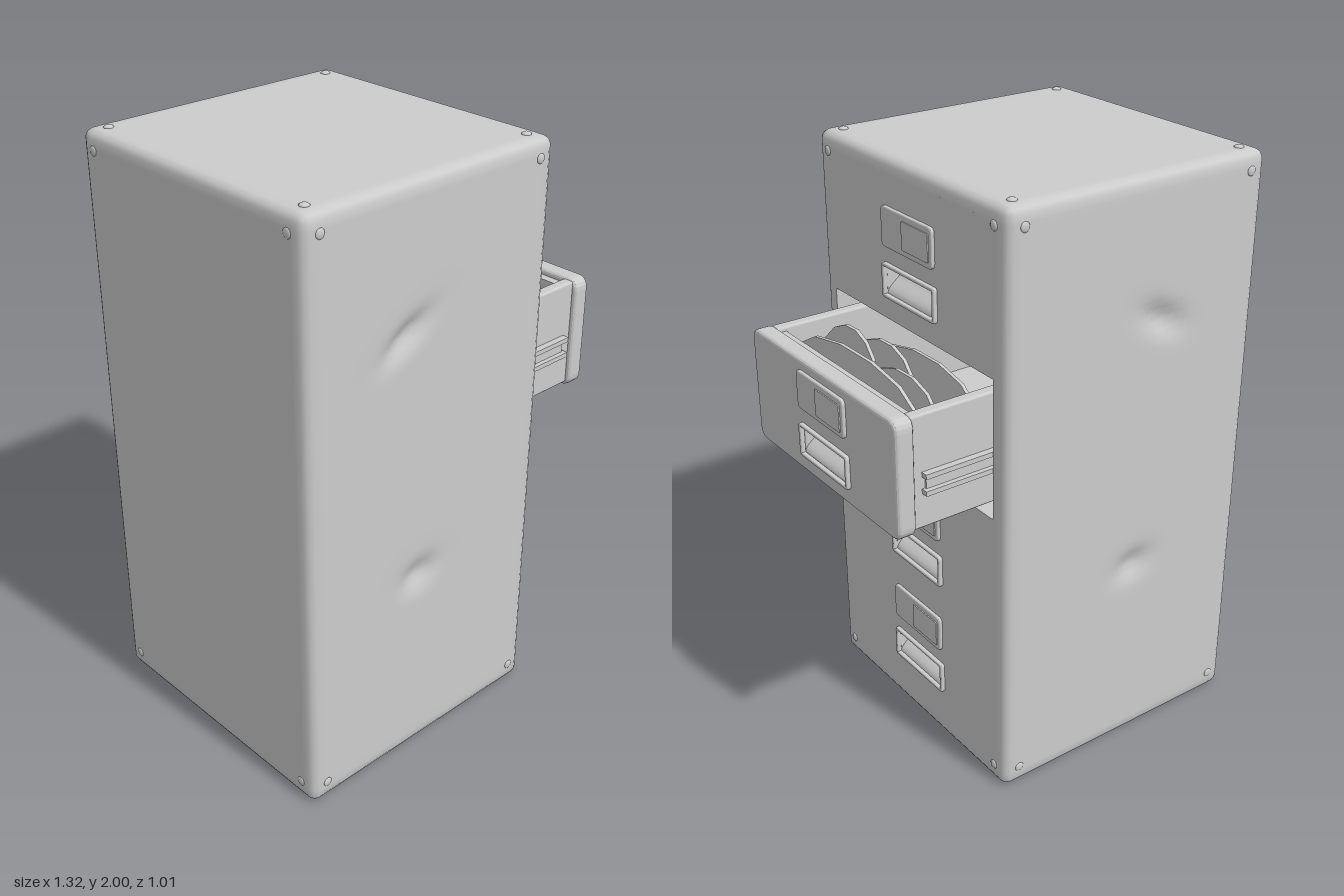
import * as THREE from 'three';
import { mergeVertices } from 'three/addons/utils/BufferGeometryUtils.js';
import { RoundedBoxGeometry } from 'three/addons/geometries/RoundedBoxGeometry.js';

const paint = new THREE.MeshStandardMaterial({ color: 0xcccccc });
paint.name = 'grey paint';
const sheet = new THREE.MeshStandardMaterial({ color: 0xcccccc, side: THREE.DoubleSide });
sheet.name = 'grey sheet';

const H = 1.99, X0 = -0.655, X1 = 0.32, MID = (X0 + X1) / 2;
const PULL_U = 0.016; // sideways offset of pulls and labels (u = -z)

function add(parent, name, geometry, material = paint) {
  const mesh = new THREE.Mesh(geometry, material);
  mesh.name = name;
  parent.add(mesh);
  return mesh;
}

// Box given by its limits, optionally rounded
function box(parent, name, x0, x1, y0, y1, z0, z1, r = 0) {
  const s = [x1 - x0, y1 - y0, z1 - z0];
  const g = r ? new RoundedBoxGeometry(...s, 3, r) : new THREE.BoxGeometry(...s);
  return add(parent, name, g.translate((x0 + x1) / 2, (y0 + y1) / 2, (z0 + z1) / 2));
}

// Rectangle with rounded corners, used for outlines
function rect(u0, u1, y0, y1, c) {
  const s = new THREE.Shape();
  s.moveTo(u0 + c, y0);
  s.lineTo(u1 - c, y0);
  s.quadraticCurveTo(u1, y0, u1, y0 + c);
  s.lineTo(u1, y1 - c);
  s.quadraticCurveTo(u1, y1, u1 - c, y1);
  s.lineTo(u0 + c, y1);
  s.quadraticCurveTo(u0, y1, u0, y1 - c);
  s.lineTo(u0, y0 + c);
  s.quadraticCurveTo(u0, y0, u0 + c, y0);
  return s;
}

// Sharp-cornered rectangular hole
function hole(u0, u1, y0, y1) {
  return new THREE.Path([[u0, y0], [u0, y1], [u1, y1], [u1, y0]].map((p) => new THREE.Vector2(...p)));
}

const pullHole = (y) => hole(PULL_U - 0.13, PULL_U + 0.13, y - 0.045, y + 0.045);

// Extrude a (u, y) outline along x, with its front at xFront
function plate(shape, xFront, depth, bevel = 0) {
  const g = new THREE.ExtrudeGeometry(shape, {
    depth: depth - 2 * bevel, bevelEnabled: bevel > 0, bevelThickness: bevel,
    bevelSize: bevel, bevelOffset: -bevel, bevelSegments: 3, curveSegments: 5,
  });
  return g.rotateY(Math.PI / 2).translate(xFront - depth + bevel, 0, 0);
}

// Recessed pull with raised rim, and label holder above it
function pullAndLabel(parent, x, y) {
  const rim = rect(PULL_U - 0.143, PULL_U + 0.143, y - 0.057, y + 0.057, 0.012);
  rim.holes.push(pullHole(y));
  add(parent, 'pullRim', plate(rim, x + 0.014, 0.016, 0.004));

  const scoop = new THREE.PlaneGeometry(0.26, 0.09, 1, 12);
  const p = scoop.attributes.position;
  for (let i = 0; i < p.count; i++) {
    const t = THREE.MathUtils.clamp(p.getY(i) / 0.09 + 0.5, 0, 1);
    p.setZ(i, -0.052 * Math.sin(Math.PI * Math.pow(t, 1.8)));
  }
  scoop.computeVertexNormals();
  add(parent, 'pullScoop', scoop.rotateY(Math.PI / 2).translate(x, y, -PULL_U), sheet);

  const ly = y + 0.175;
  add(parent, 'labelHolder', plate(rect(PULL_U - 0.14, PULL_U + 0.135, ly - 0.065, ly + 0.065, 0.02), x + 0.012, 0.014, 0.005));
  add(parent, 'labelCard', plate(rect(PULL_U - 0.02, PULL_U + 0.12, ly - 0.045, ly + 0.045, 0.006), x + 0.016, 0.008));
}

// Rounded cabinet shell with dented sides, open where the front panel sits
function shellGeometry() {
  let g = new THREE.BoxGeometry(X1 - X0, H, 1, 39, 80, 40);
  const p = g.attributes.position, r = 0.032;
  const half = new THREE.Vector3((X1 - X0) / 2 - r, H / 2 - r, 0.5 - r);
  const low = half.clone().negate();
  const v = new THREE.Vector3(), inner = new THREE.Vector3();
  const keep = [], idx = g.index.array;
  const inPanel = (i) => p.getX(i) > (X1 - X0) / 2 - 1e-4
    && Math.abs(p.getZ(i)) < 0.451 && Math.abs(p.getY(i)) < H / 2 - 0.049;
  for (let i = 0; i < idx.length; i += 3) {
    const tri = [idx[i], idx[i + 1], idx[i + 2]];
    if (!tri.every(inPanel)) keep.push(...tri);
  }
  // centre x, centre y, length, width, tilt, depth
  const dents = [[-0.27, 1.53, 0.11, 0.045, 0.5, 0.028], [-0.2, 0.68, 0.08, 0.055, 0, 0.026]];
  for (let i = 0; i < p.count; i++) {
    v.fromBufferAttribute(p, i);
    inner.copy(v).clamp(low, half);
    v.sub(inner).setLength(r).add(inner);
    const x = v.x + MID, y = v.y + H / 2;
    if (Math.abs(v.z) > 0.499) {
      for (const [cx, cy, a, b, tilt, d] of dents) {
        const c = Math.cos(tilt), s = Math.sin(tilt);
        const m = ((x - cx) * c + (y - cy) * s) / a, n = ((y - cy) * c - (x - cx) * s) / b;
        v.z -= Math.sign(v.z) * d * Math.exp(-1.5 * (m * m + n * n));
      }
    }
    p.setXYZ(i, x, y, v.z);
  }
  g.setIndex(keep);
  g.clearGroups();
  g.deleteAttribute('normal');
  g.deleteAttribute('uv');
  g = mergeVertices(g);
  g.computeVertexNormals();
  return g;
}

// Paper folder standing across the drawer, with an arched top
function folder(parent, x, z0, z1, top, lean) {
  const s = new THREE.Shape();
  s.moveTo(-z1, 0);
  s.lineTo(-z0, 0);
  s.lineTo(-z0, top - 0.08);
  s.bezierCurveTo(-z0 - 0.05, top + 0.02, -z1 + 0.1, top + 0.02, -z1, top - 0.1);
  const m = add(parent, 'folder', plate(s, 0.006, 0.012));
  m.position.set(x, 1.08, 0);
  m.rotation.z = lean;
}

export function createModel() {
  const model = new THREE.Group();
  model.name = 'filingCabinet';

  const cabinet = new THREE.Group();
  cabinet.name = 'cabinet';
  model.add(cabinet);
  add(cabinet, 'shell', shellGeometry());

  // Front panel with the drawer opening and three closed pulls
  const closed = [0.243, 0.672, 1.602];
  const front = rect(-0.45, 0.45, 0.049, 1.941, 0.001);
  front.holes.push(hole(-0.435, 0.435, 1.005, 1.47), ...closed.map(pullHole));
  add(cabinet, 'frontPanel', plate(front, X1, 0.06));
  closed.forEach((y) => pullAndLabel(cabinet, X1, y));

  // Lining of the drawer bay
  box(cabinet, 'bayFloor', -0.5, 0.27, 0.995, 1.005, -0.44, 0.44);
  box(cabinet, 'bayCeiling', -0.5, 0.27, 1.47, 1.48, -0.44, 0.44);
  box(cabinet, 'bayBack', -0.51, -0.5, 0.995, 1.48, -0.44, 0.44);
  for (const z of [-0.44, 0.44]) box(cabinet, 'baySide', -0.5, 0.27, 0.995, 1.48, z - 0.005, z + 0.005);

  // Small corner rivets on every upright face and the top
  const rivet = (x, y, z, sx, sy, sz) =>
    add(cabinet, 'rivet', new THREE.SphereGeometry(0.016, 10, 8).scale(sx, sy, sz)).position.set(x, y, z);
  for (const s of [-1, 1]) {
    for (const x of [X0 + 0.06, X1 - 0.06]) {
      rivet(x, H, s * 0.44, 1, 0.5, 1);
      for (const y of [0.065, 1.93]) rivet(x, y, s * 0.5, 1, 1, 0.35);
    }
    for (const y of [0.065, 1.93]) {
      rivet(X1, y, s * 0.44, 0.4, 1, 1);
      rivet(X0, y, s * 0.44, 0.3, 1, 1);
    }
  }

  // Open drawer
  const drawer = new THREE.Group();
  drawer.name = 'openDrawer';
  model.add(drawer);
  const face = rect(-0.42, 0.42, 1.03, 1.42, 0.04);
  face.holes.push(pullHole(1.147));
  add(drawer, 'drawerFront', plate(face, 0.643, 0.063, 0.012));
  pullAndLabel(drawer, 0.643, 1.147);
  box(drawer, 'drawerFloor', -0.3, 0.585, 1.045, 1.08, -0.4, 0.4);
  box(drawer, 'drawerInnerFront', 0.55, 0.585, 1.05, 1.4, -0.39, 0.39);
  box(drawer, 'drawerBack', -0.3, -0.27, 1.05, 1.4, -0.39, 0.39);
  for (const s of [-1, 1]) {
    const span = (a, b) => (s > 0 ? [a, b] : [-b, -a]);
    box(drawer, 'drawerSide', -0.3, 0.585, 1.045, 1.415, ...span(0.365, 0.405), 0.008);
    // Slide rail with two lips
    box(drawer, 'railWeb', -0.3, 0.54, 1.16, 1.23, ...span(0.4, 0.412));
    for (const y of [1.16, 1.215]) box(drawer, 'railLip', -0.3, 0.55, y, y + 0.016, ...span(0.4, 0.428));
  }

  // Folders: x, z from, z to, height, lean
  const folders = [
    [0.30, -0.3, 0.25, 0.32, 0.05],
    [0.36, -0.02, 0.31, 0.32, 0],
    [0.40, -0.13, 0.2, 0.375, 0.02],
    [0.43, 0.03, 0.32, 0.385, 0],
    [0.46, -0.33, 0.05, 0.35, 0.06],
    [0.48, -0.06, 0.33, 0.33, 0],
    [0.515, -0.33, 0.33, 0.385, -0.01],
  ];
  folders.forEach((f) => folder(drawer, ...f));
  return model;
}
